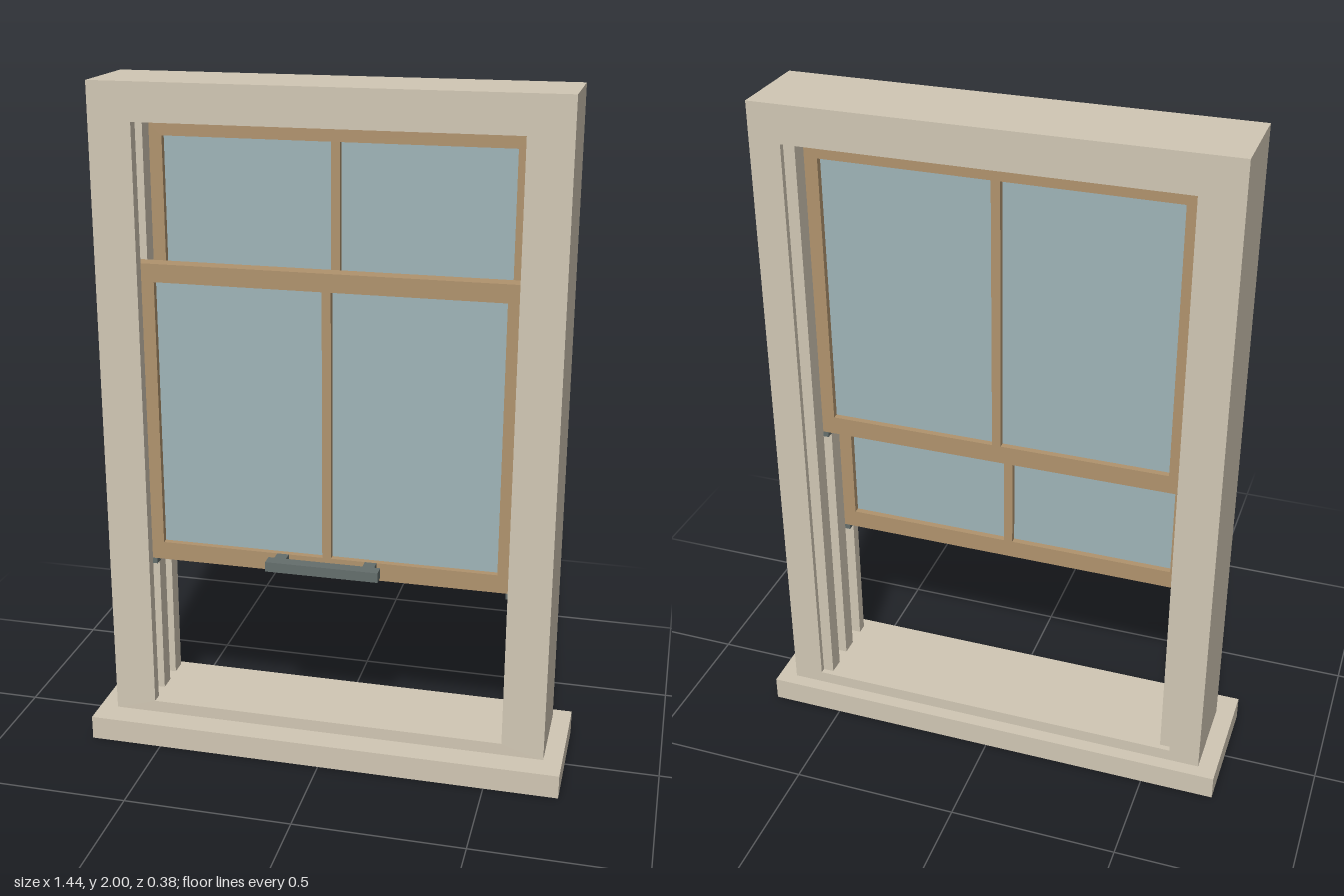
import * as THREE from 'three';

const mat = (name, color) => {
  const m = new THREE.MeshStandardMaterial({ color });
  m.name = name;
  return m;
};

export function createModel() {
  const root = new THREE.Group();
  root.name = 'sashWindow';
  const stone = mat('warmGreyFrame', 0xd2c8b5);
  const wood = mat('brownWood', 0xb1946e);
  const glass = mat('blueGreyGlass', 0xa0b5b9);
  const metal = mat('darkMetal', 0x656f6d);

  // Box given by its limits on each axis
  const box = (parent, name, m, [x0, x1], [y0, y1], [z0, z1]) => {
    const mesh = new THREE.Mesh(new THREE.BoxGeometry(x1 - x0, y1 - y0, z1 - z0), m);
    mesh.position.set((x0 + x1) / 2, (y0 + y1) / 2, (z0 + z1) / 2);
    mesh.name = name;
    parent.add(mesh);
  };

  const rect = (C, x0, x1, y0, y1) => {
    const p = new C();
    p.moveTo(x0, y0).lineTo(x1, y0).lineTo(x1, y1).lineTo(x0, y1).closePath();
    return p;
  };

  // Flat plate with rectangular holes, extruded from z0 to z1
  const plate = (parent, name, m, outer, holes, z0, z1) => {
    const shape = rect(THREE.Shape, ...outer);
    for (const h of holes) shape.holes.push(rect(THREE.Path, ...h));
    const geo = new THREE.ExtrudeGeometry(shape, { depth: z1 - z0, bevelEnabled: false });
    geo.translate(0, 0, z0);
    const mesh = new THREE.Mesh(geo, m);
    mesh.name = name;
    parent.add(mesh);
  };

  // Outer frame: a wide channel for the sashes, closed by a narrower front lip
  const frame = new THREE.Group();
  frame.name = 'frame';
  root.add(frame);
  const outer = [-0.665, 0.665, 0.07, 2];
  plate(frame, 'jambChannel', stone, outer, [[-0.574, 0.574, 0.11, 1.891]], -0.152, 0.08);
  plate(frame, 'frontLip', stone, outer, [[-0.54, 0.54, 0.11, 1.891]], 0.08, 0.113);

  // Guide beads standing in the channel on both jambs
  for (const s of [-1, 1]) {
    for (const [z0, z1] of [[-0.135, -0.084], [-0.03, 0.022]]) {
      const xs = s > 0 ? [0.541, 0.574] : [-0.574, -0.541];
      box(frame, 'guideBead', stone, xs, [0.11, 1.891], [z0, z1]);
    }
  }

  box(root, 'sill', stone, [-0.72, 0.72], [0, 0.073], [-0.192, 0.192]);

  // Sash: wooden surround with a centre bar, two panes and end clips below
  const sash = (name, y0, y1, top, z0, z1) => {
    const g = new THREE.Group();
    g.name = name;
    root.add(g);
    const b = y0 + 0.055, t = y1 - top, mid = (z0 + z1) / 2;
    plate(g, 'sashFrame', wood, [-0.565, 0.565, y0, y1],
      [[-0.504, -0.013, b, t], [0.013, 0.504, b, t]], z0, z1);
    for (const xs of [[-0.504, -0.013], [0.013, 0.504]]) {
      box(g, 'pane', glass, xs, [b, t], [mid - 0.006, mid + 0.006]);
    }
    for (const xs of [[-0.568, -0.529], [0.529, 0.568]]) {
      box(g, 'sashClip', metal, xs, [y0 - 0.02, y0], [z0 + 0.005, z1 - 0.005]);
    }
    return g;
  };
  sash('upperSash', 0.98, 1.89, 0.055, -0.081, -0.032);
  const lower = sash('lowerSash', 0.58, 1.49, 0.053, 0.026, 0.076);

  // Pull handle on the lower rail
  const handle = new THREE.Group();
  handle.name = 'handle';
  lower.add(handle);
  box(handle, 'handleBar', metal, [-0.168, 0.168], [0.605, 0.635], [0.108, 0.145]);
  for (const xs of [[-0.15, -0.115], [0.115, 0.15]]) {
    box(handle, 'handlePost', metal, xs, [0.605, 0.635], [0.076, 0.108]);
  }
  return root;
}
